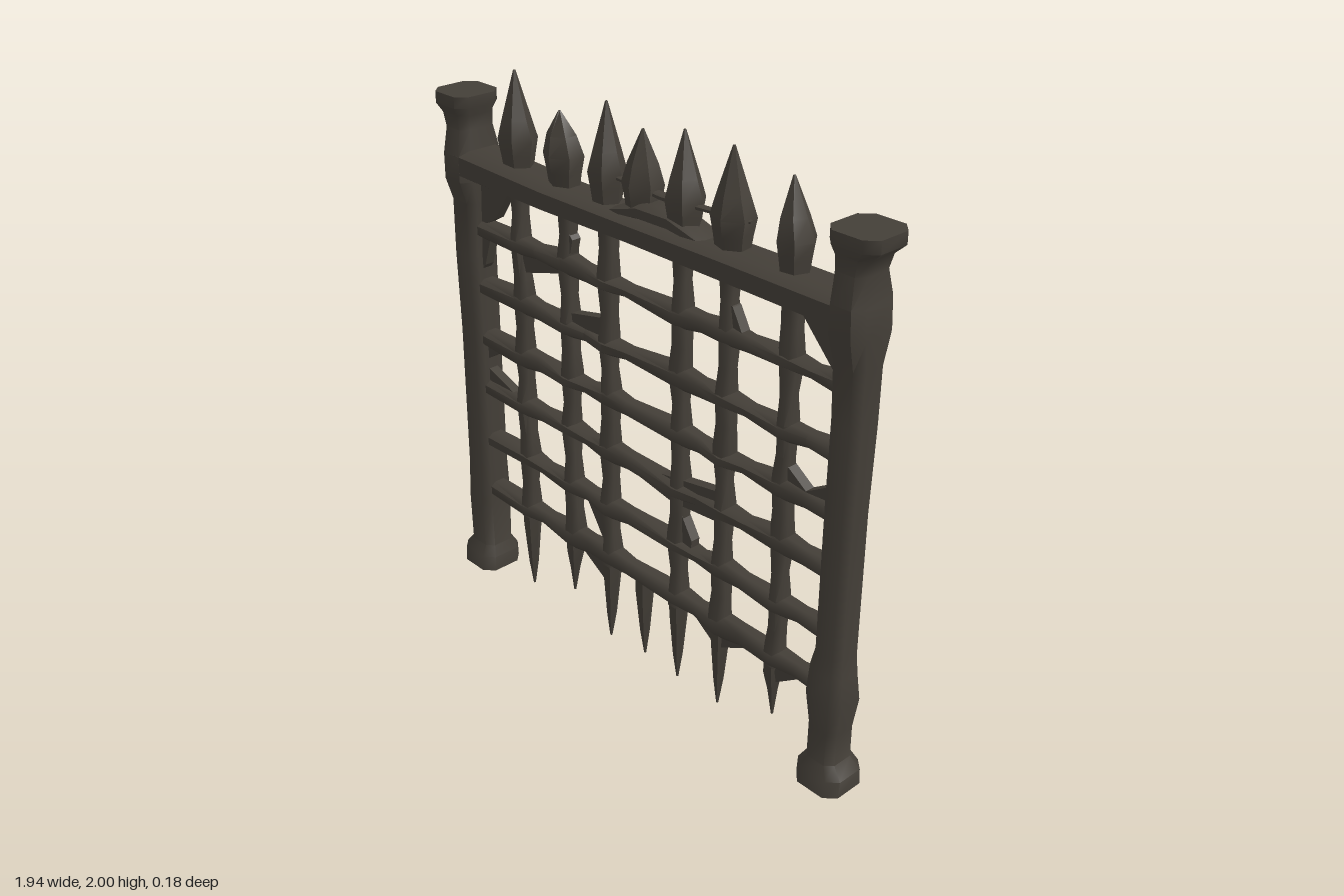
import * as THREE from 'three';
import { toCreasedNormals } from 'three/addons/utils/BufferGeometryUtils.js';

// Skin over cross-sections [y, centreX, centreZ, halfX, halfZ], bottom to top, capped at both ends
function loft(rows, ring) {
  const n = ring.length, pos = [], idx = [];
  for (const [y, cx, cz, hx, hz] of rows)
    for (const [u, v] of ring) pos.push(cx + u * hx, y, cz + v * hz);
  for (let r = 0; r < rows.length - 1; r++)
    for (let i = 0; i < n; i++) {
      const a = r * n + i, b = r * n + (i + 1) % n;
      idx.push(a, a + n, b, b, a + n, b + n);
    }
  const top = (rows.length - 1) * n;
  for (let i = 1; i < n - 1; i++) idx.push(0, i, i + 1, top, top + i + 1, top + i);
  const g = new THREE.BufferGeometry();
  g.setAttribute('position', new THREE.Float32BufferAttribute(pos, 3));
  g.setIndex(idx);
  return toCreasedNormals(g, 0.9);
}

const chamfered = (k) => [[1, -k], [1, k], [k, 1], [-k, 1], [-1, k], [-1, -k], [-k, -1], [k, -1]];
const polygon = (n, turn) => Array.from({ length: n }, (_, i) => {
  const a = turn + (i / n) * Math.PI * 2;
  return [Math.cos(a), Math.sin(a)];
});

export function createModel() {
  const model = new THREE.Group();
  model.name = 'portcullis';
  const iron = new THREE.MeshStandardMaterial({ color: 0x443f38 });
  iron.name = 'dark iron';
  const add = (name, geometry) => {
    const mesh = new THREE.Mesh(geometry, iron);
    mesh.name = name;
    model.add(mesh);
    return mesh;
  };
  // Horizontal bar from [x, y, halfHeight, halfDepth]
  const across = (name, rows, ring) =>
    add(name, loft(rows.map(([x, y, h, d]) => [x, -y, 0, h, d]), ring).rotateZ(-Math.PI / 2));

  // Side posts with flared feet and caps
  const post = chamfered(0.6);
  add('rightPost', loft([
    [0, -0.875, 0, 0.088, 0.088], [0.06, -0.875, 0, 0.088, 0.085], [0.1, -0.87, 0, 0.064, 0.062],
    [0.3, -0.87, 0, 0.064, 0.066], [0.45, -0.87, 0, 0.062, 0.06], [1.0, -0.87, 0, 0.062, 0.058],
    [1.3, -0.875, 0, 0.06, 0.062], [1.5, -0.87, 0, 0.065, 0.062], [1.58, -0.87, 0, 0.068, 0.088],
    [1.67, -0.87, 0, 0.068, 0.088], [1.76, -0.875, 0, 0.06, 0.07], [1.81, -0.88, 0, 0.066, 0.075],
    [1.84, -0.885, 0, 0.086, 0.09], [1.88, -0.885, 0, 0.086, 0.09],
  ], post));
  add('leftPost', loft([
    [0, 0.875, 0, 0.088, 0.088], [0.06, 0.875, 0, 0.088, 0.08], [0.1, 0.87, 0, 0.058, 0.062],
    [0.22, 0.87, 0, 0.058, 0.06], [0.33, 0.87, 0, 0.072, 0.072], [0.43, 0.867, 0, 0.065, 0.06],
    [0.5, 0.872, 0, 0.054, 0.056], [1.0, 0.872, 0, 0.054, 0.056], [1.3, 0.878, 0, 0.055, 0.06],
    [1.48, 0.875, 0, 0.058, 0.062], [1.58, 0.875, 0, 0.066, 0.088], [1.67, 0.872, 0, 0.062, 0.088],
    [1.76, 0.865, 0, 0.057, 0.07], [1.81, 0.87, 0, 0.066, 0.075],
    [1.84, 0.88, 0, 0.088, 0.09], [1.88, 0.88, 0, 0.088, 0.09],
  ], post));

  // Heavy top beam
  across('topBeam', [
    [-0.86, 1.64, 0.055, 0.088], [-0.4, 1.63, 0.048, 0.085], [0, 1.63, 0.044, 0.078],
    [0.4, 1.635, 0.048, 0.085], [0.86, 1.635, 0.05, 0.088],
  ], chamfered(0.6));

  // Lattice: uneven hammered rails, swelling where they meet the bars
  const barX = [-0.61, -0.36, -0.16, 0.18, 0.38, 0.63];
  const railY = [1.4, 1.18, 0.98, 0.78, 0.56, 0.35];
  const forged = chamfered(0.5);
  railY.forEach((y, r) => {
    const rows = [[-0.84, y, 0.03, 0.038]];
    barX.forEach((x, i) => {
      const h = (r === 5 ? 0.034 : 0.028) + 0.006 * Math.sin(i * 2.3 + r);
      rows.push([x, y + 0.008 * Math.sin(i * 1.7 + r * 2), h + 0.005, 0.04], [x + 0.1, y, h - 0.003, 0.03]);
    });
    rows.push([0.84, y, 0.034, 0.038]);
    across('rail', rows, forged);
  });

  // Upright bars
  barX.forEach((x, i) => {
    const rows = [[0.32, x, 0, 0.034, 0.034]];
    [...railY].reverse().forEach((y, r) => {
      const w = 0.028 + 0.005 * Math.sin(i * 1.9 + r * 2.1);
      rows.push([y + 0.02, x + 0.006 * Math.sin(i + r * 2), 0, w + 0.005, 0.036], [y + 0.11, x, 0, w, 0.028]);
    });
    rows.push([1.62, x, 0, 0.032, 0.034]);
    add('uprightBar', loft(rows, forged));
  });

  // Spikes below the lowest rail: [x, tip x, tip y]
  const spikes = [[-0.61, -0.612, 0.01], [-0.36, -0.37, 0.1], [-0.16, -0.17, 0], [0.01, 0.012, 0.02],
    [0.18, 0.178, 0.01], [0.38, 0.375, 0.01], [0.62, 0.625, 0.11]];
  for (const [x, tx, ty] of spikes)
    add('bottomSpike', loft([
      [ty, tx, 0, 0.004, 0.004], [ty + 0.1, (x + tx) / 2, 0, 0.018, 0.018],
      [0.28, x, 0, 0.034, 0.032], [0.36, x, 0, 0.036, 0.034],
    ], polygon(6, 0)));

  // Pointed heads above the beam: [x, tip x, tip y, bulge half-width]
  const heads = [[-0.61, -0.615, 2, 0.075], [-0.375, -0.39, 1.915, 0.075], [-0.165, -0.165, 1.995, 0.064],
    [0, 0, 1.945, 0.072], [0.185, 0.18, 1.985, 0.07], [0.385, 0.38, 1.985, 0.075], [0.63, 0.61, 1.955, 0.06]];
  heads.forEach(([x, tx, ty, w], i) =>
    add('spearHead', loft([
      [1.66, x, 0, w * 0.75, 0.045], [1.72, x, 0, w * 0.85, 0.055], [1.775, x, 0, w, 0.064],
      [1.84, (x + tx) / 2, 0, w * 0.7, 0.048], [ty, tx, 0, 0.004, 0.004],
    ], polygon(6, i * 0.5))));

  // Thin tie wire and bent scrap between the heads
  across('tieWire', [[-0.2, 1.765, 0.006, 0.008], [0.1, 1.755, 0.01, 0.02], [0.46, 1.775, 0.005, 0.008]], forged);
  across('scrapIron', [[-0.1, 1.67, 0.01, 0.05], [0.03, 1.7, 0.03, 0.06], [0.16, 1.7, 0.03, 0.055],
    [0.3, 1.67, 0.01, 0.05]], forged);

  // Ragged webs where metal fills the lattice corners
  const webs = [
    [[-0.84, 1.6], [-0.64, 1.59], [-0.73, 1.46], [-0.8, 1.42], [-0.84, 1.38]],
    [[0.65, 1.6], [0.84, 1.6], [0.84, 1.4], [0.8, 1.44]],
    [[-0.84, 1.4], [-0.76, 1.39], [-0.8, 1.27], [-0.84, 1.22]],
    [[-0.6, 1.41], [-0.57, 1.31], [-0.38, 1.365], [-0.36, 1.41]],
    [[-0.35, 1.18], [-0.34, 1.235], [-0.18, 1.27], [-0.15, 1.18]],
    [[0.37, 1.52], [0.41, 1.5], [0.46, 1.41], [0.37, 1.4]],
    [[-0.36, 1.54], [-0.32, 1.5], [-0.34, 1.42], [-0.38, 1.42]],
    [[0.63, 1.08], [0.73, 1.01], [0.83, 1.07], [0.83, 0.97], [0.63, 0.97]],
    [[-0.84, 0.97], [-0.7, 0.97], [-0.81, 0.9], [-0.84, 0.83]],
    [[-0.84, 0.78], [-0.84, 0.87], [-0.64, 0.8], [-0.6, 0.77]],
    [[-0.11, 0.77], [0.17, 0.815], [0.37, 0.85], [0.39, 0.74], [0.16, 0.72]],
    [[0.16, 0.75], [0.2, 0.7], [0.255, 0.61], [0.25, 0.56], [0.16, 0.56]],
    [[-0.28, 0.56], [-0.19, 0.42], [-0.15, 0.4], [-0.14, 0.56]],
    [[-0.34, 0.35], [-0.3, 0.32], [-0.17, 0.24], [-0.14, 0.35]],
    [[0.2, 0.35], [0.27, 0.33], [0.38, 0.25], [0.53, 0.33], [0.53, 0.36]],
    [[0.63, 0.36], [0.65, 0.26], [0.75, 0.33], [0.82, 0.36]],
  ];
  for (const points of webs) {
    const shape = new THREE.Shape(points.map(([x, y]) => new THREE.Vector2(x, y)));
    add('cornerWeb', new THREE.ExtrudeGeometry(shape, { depth: 0.036, bevelEnabled: false }).translate(0, 0, -0.018));
  }
  return model;
}
